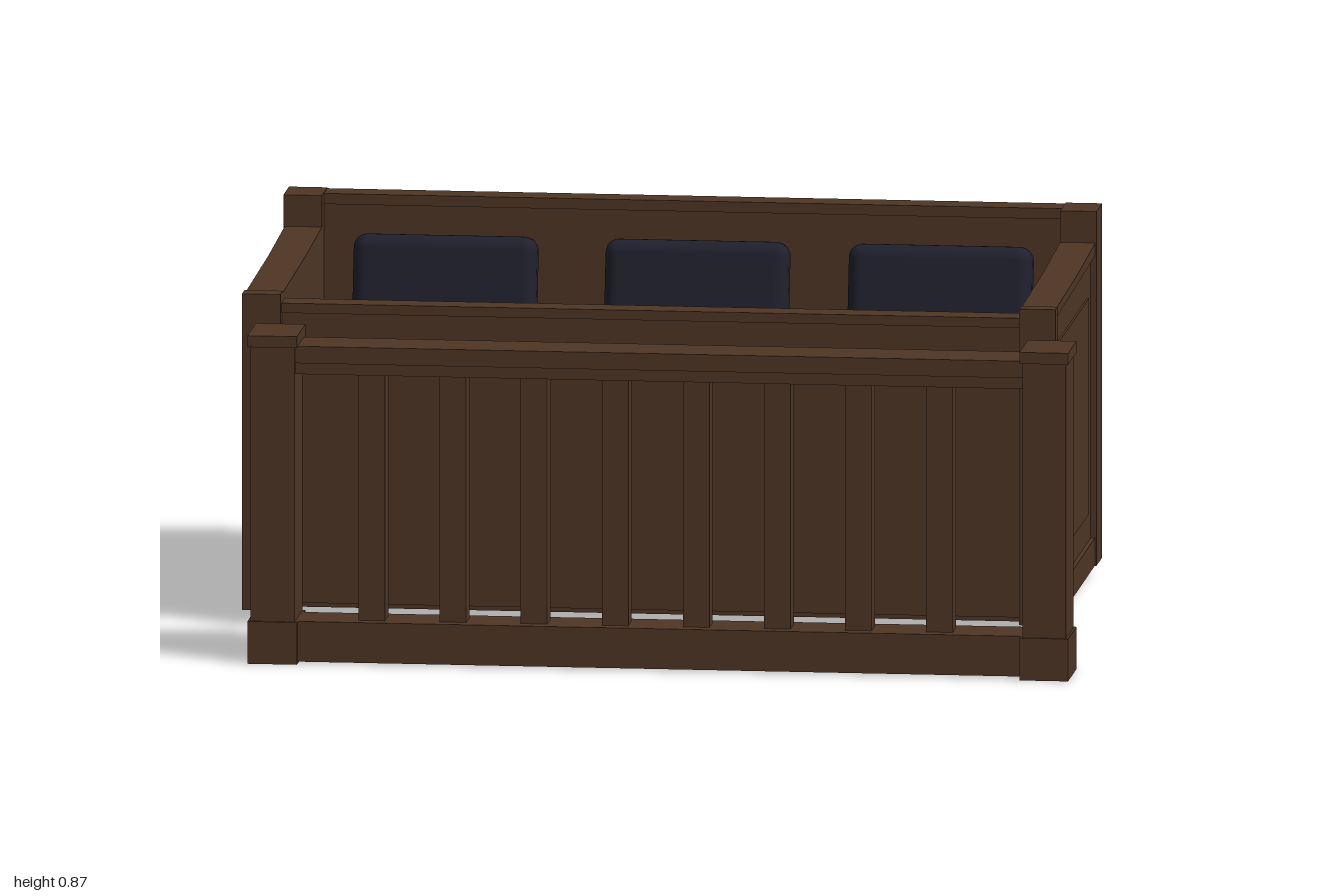
import * as THREE from 'three';
import { RoundedBoxGeometry } from 'three/addons/geometries/RoundedBoxGeometry.js';

const wood = new THREE.MeshStandardMaterial({ color: 0x4f3625 });
wood.name = 'dark wood';
const fabric = new THREE.MeshStandardMaterial({ color: 0x20202e });
fabric.name = 'navy fabric';

// Wooden block given by its extents on each axis
function block(parent, name, [x0, x1], [y0, y1], [z0, z1]) {
  const mesh = new THREE.Mesh(new THREE.BoxGeometry(x1 - x0, y1 - y0, z1 - z0), wood);
  mesh.position.set((x0 + x1) / 2, (y0 + y1) / 2, (z0 + z1) / 2);
  mesh.name = name;
  parent.add(mesh);
  return mesh;
}

// Arm rail whose top rises gently towards the back; profile is in (z, y)
function armRail(parent, x0, x1) {
  const shape = new THREE.Shape([
    [0.16, 0.755], [0.16, 0.778], [-0.3, 0.785], [-0.63, 0.798], [-0.63, 0.768],
  ].map(([z, y]) => new THREE.Vector2(-z, y)));
  const geo = new THREE.ExtrudeGeometry(shape, { depth: x1 - x0, bevelEnabled: false });
  geo.rotateY(Math.PI / 2); // profile x becomes -z, depth becomes +x
  const mesh = new THREE.Mesh(geo, wood);
  mesh.position.x = x0;
  mesh.name = 'armRail';
  parent.add(mesh);
}

function createBench() {
  const bench = new THREE.Group();
  bench.name = 'bench';

  block(bench, 'seatBase', [-0.93, 0.84], [0.035, 0.52], [-0.7, 0.14]);
  block(bench, 'frontPanel', [-0.92, 0.83], [0.05, 0.74], [0.115, 0.172]);
  block(bench, 'frontRail', [-0.92, 0.83], [0.735, 0.758], [0.11, 0.178]);
  block(bench, 'backPanel', [-0.99, 0.89], [0.035, 0.85], [-0.726, -0.665]);
  block(bench, 'backRail', [-0.995, 0.895], [0.845, 0.87], [-0.73, -0.66]);

  // Each side: posts, recessed panel, rails
  const sides = [
    { name: 'rightSide', x0: -1, x1: -0.91, out: -1, front: 0.2 },
    { name: 'leftSide', x0: 0.82, x1: 0.905, out: 1, front: 0.19 },
  ];
  for (const { name, x0, x1, out, front } of sides) {
    const side = new THREE.Group();
    side.name = name;
    const inset = (d) => (out > 0 ? [x0, x1 - d] : [x0 + d, x1]);
    block(side, 'frontPost', [x0, x1], [0.035, 0.782], [0.15, front]);
    block(side, 'backPost', [x0, x1], [0.035, 0.872], [-0.73, -0.62]);
    block(side, 'sidePanel', inset(0.014), [0.037, 0.77], [-0.63, 0.16]);
    block(side, 'raisedField', inset(0.009), [0.17, 0.68], [-0.55, 0.06]);
    block(side, 'lowerRail', inset(0.004), [0.035, 0.1], [-0.63, 0.16]);
    armRail(side, ...inset(0.003));
    bench.add(side);
  }

  // Three cushions leaning against the back
  for (const x of [-0.617, -0.027, 0.543]) {
    const geo = new RoundedBoxGeometry(0.43, 0.26, 0.092, 4, 0.032);
    const cushion = new THREE.Mesh(geo, fabric);
    cushion.position.set(x, 0.658, -0.588);
    cushion.rotation.x = -0.2;
    cushion.name = 'cushion';
    bench.add(cushion);
  }
  return bench;
}

function createRailing() {
  const railing = new THREE.Group();
  railing.name = 'railing';

  // End posts with wider base and cap
  for (const [x0, x1, z0, z1] of [[-0.926, -0.81, 0.547, 0.716], [0.884, 0.998, 0.56, 0.726]]) {
    const g = 0.006;
    block(railing, 'post', [x0 + g, x1 - g], [0.09, 0.76], [z0 + g, z1 - g]);
    block(railing, 'postBase', [x0, x1], [0, 0.1], [z0, z1]);
    block(railing, 'postCap', [x0, x1], [0.748, 0.775], [z0, z1]);
  }

  block(railing, 'topRail', [-0.83, 0.9], [0.71, 0.75], [0.575, 0.702]);
  block(railing, 'topRailLip', [-0.83, 0.9], [0.682, 0.712], [0.588, 0.689]);
  block(railing, 'bottomRail', [-0.83, 0.9], [0.005, 0.1], [0.575, 0.702]);

  // Balusters
  for (let i = 0; i < 8; i++) {
    const x = -0.64 + i * 0.19;
    block(railing, 'baluster', [x - 0.031, x + 0.031], [0.095, 0.69], [0.605, 0.67]);
  }
  return railing;
}

export function createModel() {
  const model = new THREE.Group();
  model.name = 'benchWithRailing';
  model.add(createBench(), createRailing());
  return model;
}
